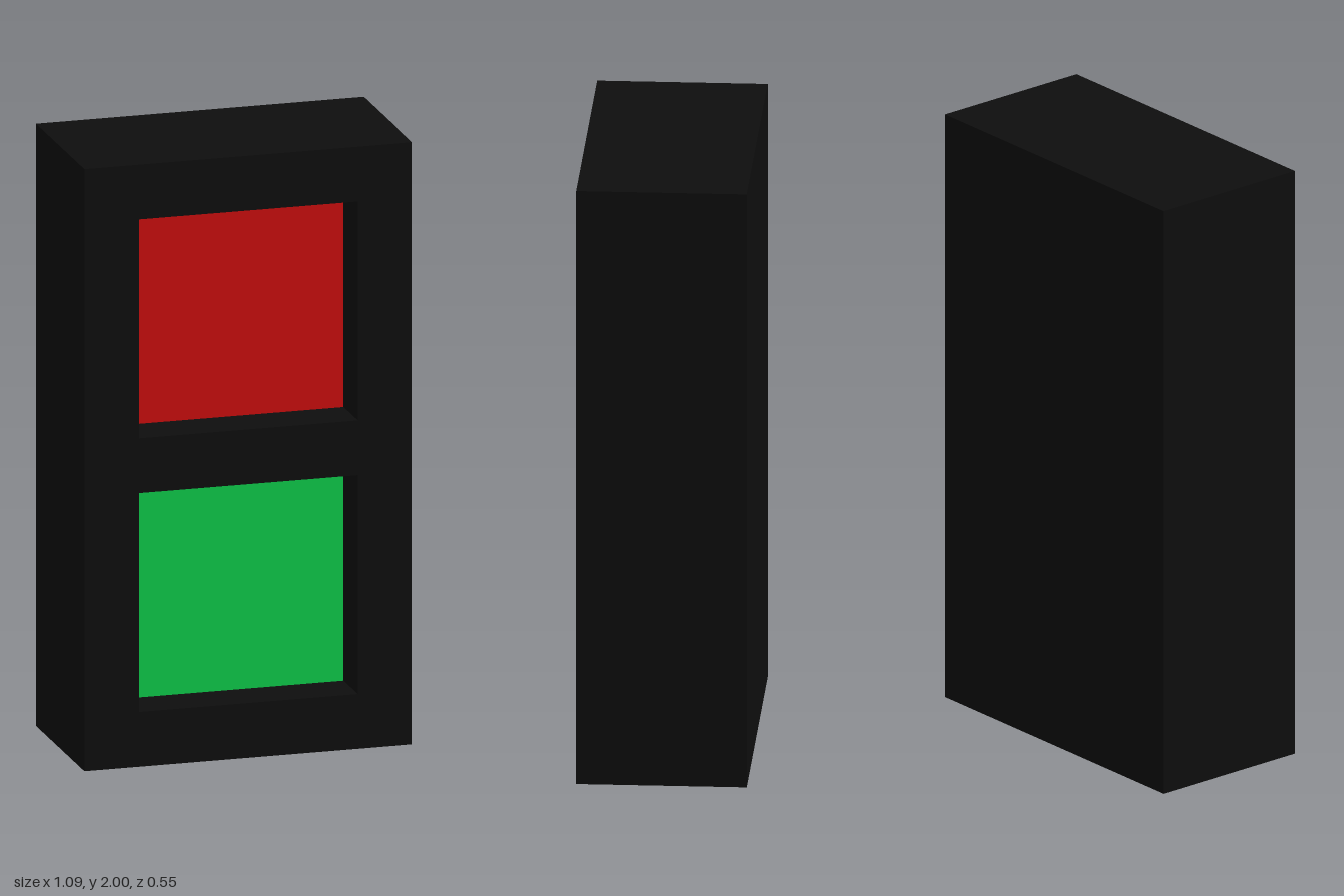
import * as THREE from 'three';

const U = 2 / 11;            // module unit: the housing is 6 x 11 x 3 units
const RECESS = 0.9 * U;      // depth of the lamps behind the front

export function createModel() {
  const model = new THREE.Group();
  model.name = 'pedestrianSignal';

  const black = new THREE.MeshStandardMaterial({ color: 0x0d0d0d });
  black.name = 'black';
  const red = new THREE.MeshStandardMaterial({ color: 0xca0d0d });
  red.name = 'red';
  const green = new THREE.MeshStandardMaterial({ color: 0x0dca4a });
  green.name = 'green';

  const rect = (Path, x, y, w, h) => new Path()
    .moveTo(x, y).lineTo(x + w, y).lineTo(x + w, y + h).lineTo(x, y + h).closePath();

  const add = (name, geometry, material, y, z) => {
    const mesh = new THREE.Mesh(geometry, material);
    mesh.name = name;
    mesh.position.set(0, y, z);
    model.add(mesh);
  };

  const lamps = [['redLamp', red, 6 * U], ['greenLamp', green, U]];
  const lampZ = 1.5 * U - RECESS;

  // Front frame with two square openings
  const frame = rect(THREE.Shape, -3 * U, 0, 6 * U, 11 * U);
  for (const [, , y] of lamps) {
    frame.holes.push(rect(THREE.Path, -2 * U, y, 4 * U, 4 * U));
  }
  add('frontFrame', new THREE.ExtrudeGeometry(frame, { depth: RECESS, bevelEnabled: false }), black, 0, lampZ);

  // Solid housing behind the frame
  const bodyDepth = 3 * U - RECESS;
  add('housing', new THREE.BoxGeometry(6 * U, 11 * U, bodyDepth), black, 5.5 * U, lampZ - bodyDepth / 2);

  // Lamps filling the recesses
  for (const [name, material, y] of lamps) {
    add(name, new THREE.BoxGeometry(4 * U, 4 * U, 0.004), material, y + 2 * U, lampZ + 0.001);
  }
  return model;
}
